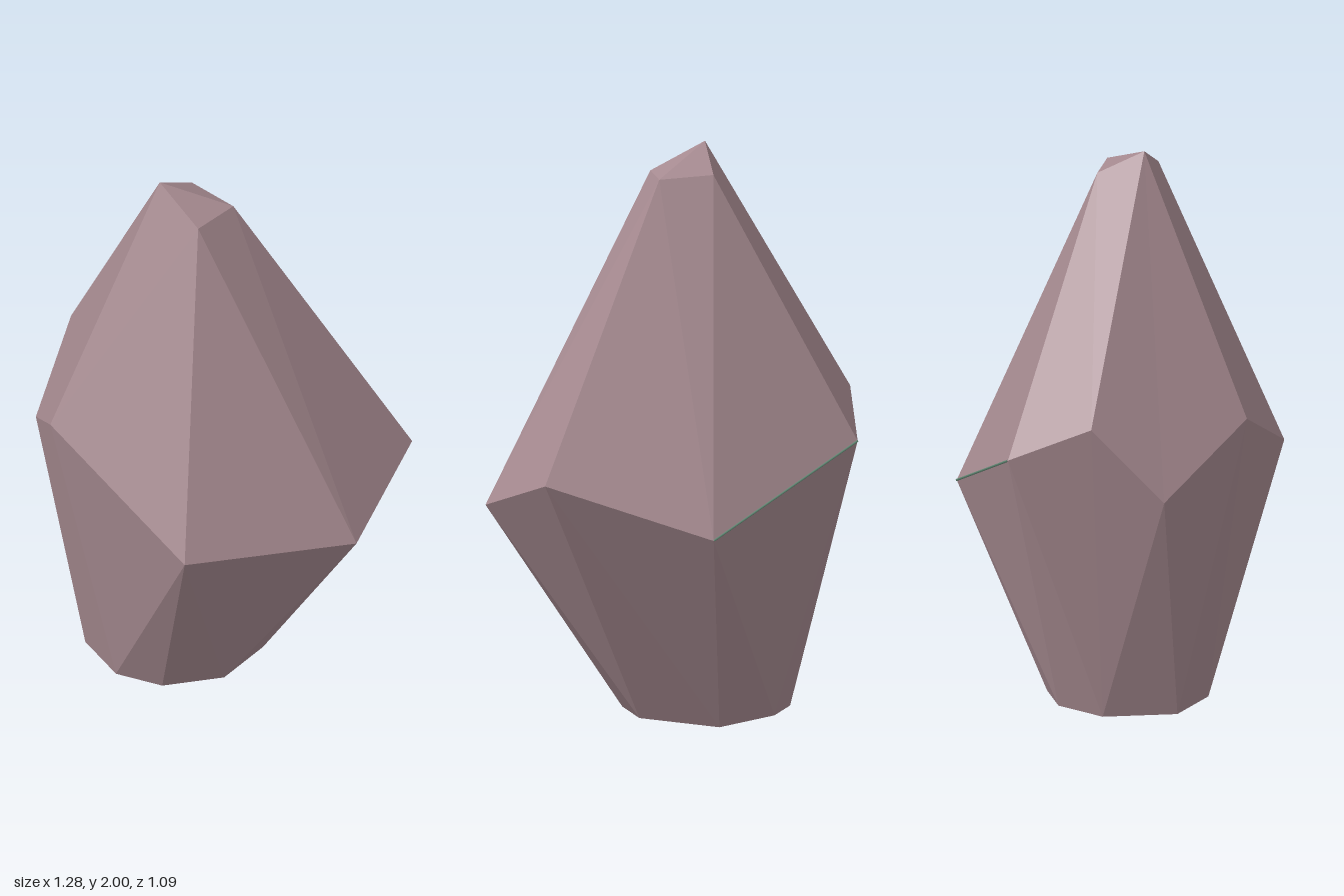
import * as THREE from 'three';

export function createModel() {
  const group = new THREE.Group();
  group.name = 'rock';
  const stone = new THREE.MeshStandardMaterial({ color: 0xa68a90, flatShading: true });
  stone.name = 'rose stone';
  const moss = new THREE.MeshStandardMaterial({ color: 0x648a76 });
  moss.name = 'moss green';

  const points = (list) => list.map((p) => new THREE.Vector3(...p));

  // Cross-sections, each running from the back round by the left side
  const base = points([
    [-0.16, 0, -0.21], [0.11, 0.02, -0.12], [0.15, 0.02, 0.1], [0.04, 0.02, 0.29],
    [-0.12, 0.02, 0.36], [-0.33, 0.02, 0.31], [-0.43, 0.02, 0.07], [-0.36, 0.02, -0.11],
  ]);
  const waist = points([
    [-0.11, 0.72, -0.55], [0.47, 0.91, -0.49], [0.64, 0.77, -0.07], [0.37, 0.81, 0.49],
    [-0.26, 1.1, 0.54], [-0.56, 0.87, 0.33], [-0.64, 1.14, 0.09], [-0.64, 1.0, -0.21],
  ]);
  const tip = points([
    [0.035, 1.9, -0.05], [0.05, 1.9, 0.13], [-0.14, 2.0, 0.135], [-0.155, 1.91, -0.03],
  ]);

  const verts = [];
  const tri = (...corners) => corners.forEach((p) => verts.push(p.x, p.y, p.z));
  // Split a four-sided facet along the diagonal that bulges outward
  const facet = (a, b, c, d) => {
    if (b === c) return tri(a, b, d);
    const plane = new THREE.Plane().setFromCoplanarPoints(a, b, c);
    if (plane.distanceToPoint(d) > 0) {
      tri(a, b, d);
      tri(b, c, d);
    } else {
      tri(a, b, c);
      tri(a, c, d);
    }
  };

  // Lower and upper facets; two waist corners share each tip corner
  for (let i = 0; i < 8; i++) {
    const j = (i + 1) % 8;
    facet(base[i], waist[i], waist[j], base[j]);
    facet(waist[i], tip[i >> 1], tip[j >> 1], waist[j]);
  }
  // Tip cap and underside
  facet(tip[0], tip[3], tip[2], tip[1]);
  for (let i = 1; i < 7; i++) tri(base[0], base[i], base[i + 1]);

  const geometry = new THREE.BufferGeometry();
  geometry.setAttribute('position', new THREE.Float32BufferAttribute(verts, 3));
  geometry.computeVertexNormals();
  const body = new THREE.Mesh(geometry, stone);
  body.name = 'rockBody';
  group.add(body);

  // Thin moss line along the back right ridge
  const ridge = new THREE.LineCurve3(waist[7], waist[0]);
  const seam = new THREE.Mesh(new THREE.TubeGeometry(ridge, 1, 0.004, 6), moss);
  seam.name = 'mossSeam';
  group.add(seam);

  return group;
}
